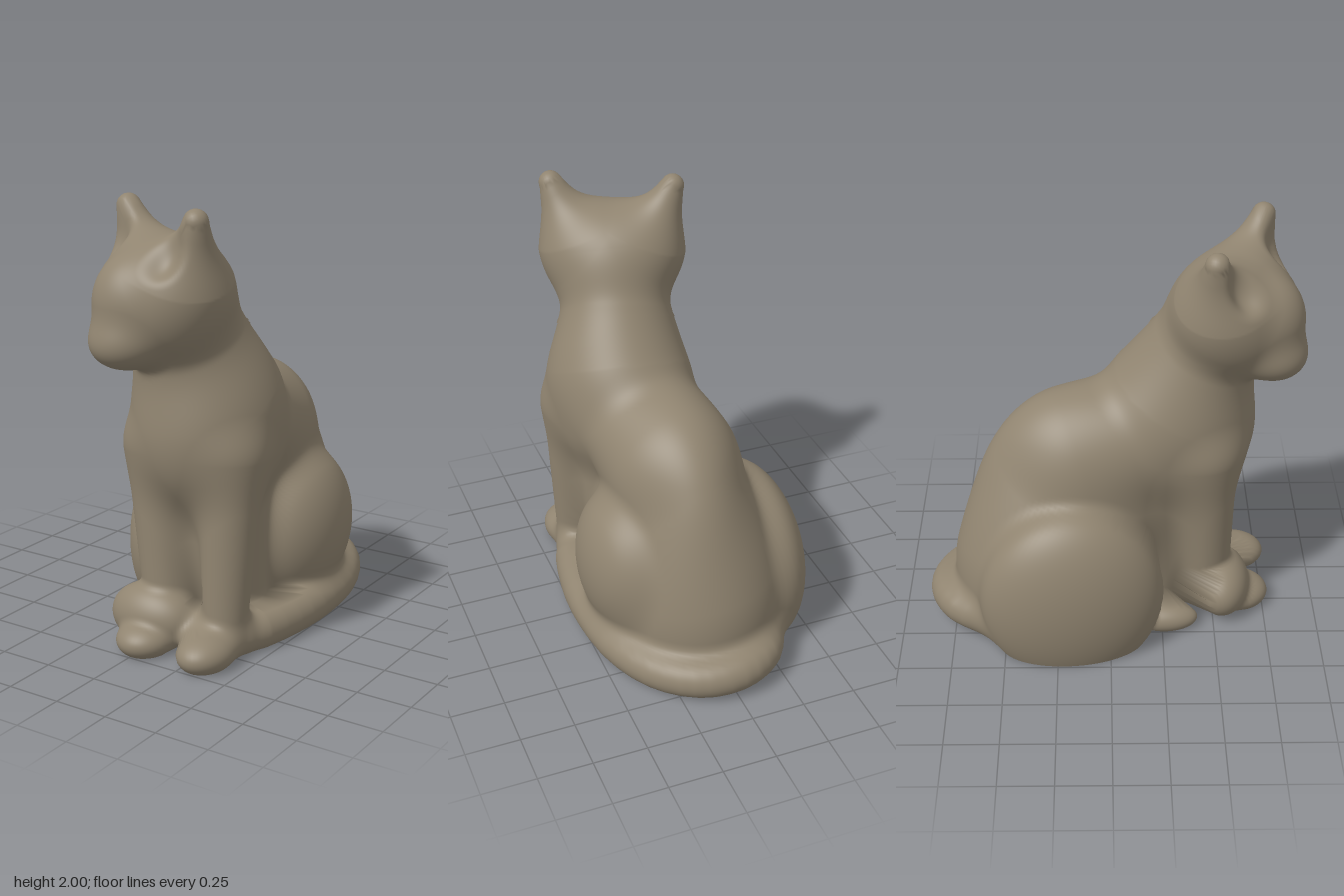
import * as THREE from 'three';
import { mergeVertices } from 'three/addons/utils/BufferGeometryUtils.js';

const V = (x, y, z) => new THREE.Vector3(x, y, z);
const HEAD = V(0.08, 1.58, 0.545);
const YAW = -0.44; // the head looks a little to its right
const SIDES = [-1, 1];

// Rounded volume: ellipsoid turned about the vertical axis
function ellipsoid(c, r, yaw = 0) {
  const cs = Math.cos(yaw), sn = Math.sin(yaw);
  return (x, y, z) => {
    const dx = x - c.x, dz = z - c.z;
    const a = (dx * cs - dz * sn) / r.x, b = (y - c.y) / r.y, e = (dx * sn + dz * cs) / r.z;
    const k0 = Math.hypot(a, b, e), k1 = Math.hypot(a / r.x, b / r.y, e / r.z);
    return k1 < 1e-6 ? -Math.min(r.x, r.y, r.z) : k0 * (k0 - 1) / k1;
  };
}

// Rounded volume: limb tapering from a to b
function limb(a, ra, b, rb) {
  const ab = b.clone().sub(a), len2 = ab.lengthSq();
  return (x, y, z) => {
    const px = x - a.x, py = y - a.y, pz = z - a.z;
    const t = Math.min(1, Math.max(0, (px * ab.x + py * ab.y + pz * ab.z) / len2));
    return Math.hypot(px - ab.x * t, py - ab.y * t, pz - ab.z * t) - ra - (rb - ra) * t;
  };
}

// Tail: chain of short limbs from the rump along the left side to the forepaws
function tail() {
  const path = new THREE.CatmullRomCurve3([
    V(-0.26, 0.1, -0.53), V(-0.17, 0.11, -0.71), V(-0.03, 0.105, -0.785), V(0.13, 0.09, -0.765),
    V(0.29, 0.08, -0.64), V(0.4, 0.075, -0.42), V(0.445, 0.075, -0.12), V(0.43, 0.075, 0.15),
    V(0.36, 0.075, 0.4), V(0.2, 0.08, 0.52)]).getPoints(26);
  const links = path.slice(1).map((p, i) => limb(path[i], 0.092, p, 0.092));
  return (x, y, z) => {
    if (y > 0.6) return y - 0.3;
    let d = 9;
    for (const f of links) d = Math.min(d, f(x, y, z));
    return d;
  };
}

// Point in the turned frame of the head
const onHead = (x, y, z) => V(x, y, z).applyAxisAngle(V(0, 1, 0), YAW).add(HEAD);

// Each volume with the softness of its joint
const volumes = [
  [ellipsoid(V(0, 0.25, -0.29), V(0.41, 0.56, 0.46)), 0],                   // rump
  [ellipsoid(V(0.04, 0.71, -0.14), V(0.28, 0.46, 0.46)), 0.2],              // back
  [limb(V(0.06, 0.86, -0.15), 0.3, V(0.11, 0.95, 0.15), 0.3), 0.1],         // withers
  [limb(V(0.14, 0.8, 0.29), 0.24, V(0.13, 0.1, 0.18), 0.2), 0.1],           // belly
  [ellipsoid(V(0.145, 1.0, 0.355), V(0.33, 0.41, 0.325)), 0.1],             // chest
  [limb(V(0.135, 1.14, 0.29), 0.285, V(0.09, 1.61, 0.545), 0.23), 0.12],    // neck
  [limb(V(0.335, 0.9, 0.44), 0.14, V(0.325, 0.09, 0.48), 0.098), 0.1],      // left foreleg
  [limb(V(-0.045, 0.9, 0.45), 0.14, V(0.03, 0.09, 0.48), 0.103), 0.1],      // right foreleg
  [ellipsoid(V(0.3, 0.41, -0.2), V(0.225, 0.36, 0.33)), 0.07],              // left thigh
  [ellipsoid(V(-0.31, 0.28, -0.18), V(0.225, 0.47, 0.43), 0.1), 0.07],      // right thigh
  [tail(), 0.07],
  [ellipsoid(V(-0.01, 0.13, 0.54), V(0.21, 0.15, 0.14)), 0.03],             // tail tip
  [ellipsoid(V(0.325, 0.06, 0.62), V(0.122, 0.088, 0.16)), 0.06],           // left forepaw
  [ellipsoid(V(0.01, 0.055, 0.63), V(0.13, 0.085, 0.145)), 0.03],           // right forepaw
  [ellipsoid(V(-0.19, 0.05, 0.26), V(0.08, 0.07, 0.16)), 0.03],             // right hind paw
  [ellipsoid(HEAD, V(0.315, 0.27, 0.285), YAW), 0.06],                      // skull
  [ellipsoid(onHead(0, 0, 0.19), V(0.14, 0.18, 0.14), YAW), 0.08],          // brow and nose bridge
  [ellipsoid(onHead(0, -0.16, 0.205), V(0.155, 0.115, 0.15), YAW), 0.08],   // muzzle
  ...SIDES.map(s => [limb(onHead(s * 0.175, 0.12, 0), 0.15, onHead(s * 0.28, 0.362, 0.025), 0.054), 0.13]), // ears
];
const earHollows = SIDES.map(s => ellipsoid(onHead(s * 0.22, 0.27, 0.165), V(0.07, 0.12, 0.09), YAW));

// Soft minimum of two distances
function blend(a, b, k) {
  const h = Math.max(k - Math.abs(a - b), 0);
  return Math.min(a, b) - (k ? h * h / (4 * k) : 0);
}

// Soft union of all volumes; negative inside
function field(x, y, z) {
  let d = 9;
  for (const [f, k] of volumes) d = blend(d, f(x, y, z), k);
  if (y > 1.6) for (const f of earHollows) d = -blend(-d, f(x, y, z), 0.06);
  return d;
}
const along = (o, d, r) => field(o.x + d.x * r, o.y + d.y * r, o.z + d.z * r);

// Refine the surface distance along a ray between an inner and an outer value
function refine(o, d, lo, hi) {
  for (let i = 0; i < 12; i++) {
    const m = (lo + hi) / 2;
    if (along(o, d, m) < 0) lo = m; else hi = m;
  }
  return (lo + hi) / 2;
}

// Smooth normals from the slope of the field
function smoothNormals(g) {
  const p = g.attributes.position, n = [], e = 0.004;
  for (let i = 0; i < p.count; i++) {
    const x = p.getX(i), y = p.getY(i), z = p.getZ(i);
    const v = V(field(x + e, y, z) - field(x - e, y, z), field(x, y + e, z) - field(x, y - e, z),
      field(x, y, z + e) - field(x, y, z - e)).normalize();
    n.push(v.x, v.y, v.z);
  }
  g.setAttribute('normal', new THREE.Float32BufferAttribute(n, 3));
  return g;
}

// Body: cross-sections around a bent axis, level at the ground and leaning at the neck
const ROWS = 160, COLS = 200, TOP = 1.62;
const axisKeys = [[0, 0.08, 0.2], [0.8, 0.08, 0.2], [1.3, 0.12, 0.36], [TOP, HEAD.x, 0.52]];
function axisAt(y) {
  const i = y < 0.8 ? 0 : y < 1.3 ? 1 : 2;
  const [a, b] = [axisKeys[i], axisKeys[i + 1]];
  const t = (y - a[0]) / (b[0] - a[0]);
  return V(a[1] + (b[1] - a[1]) * t, y, a[2] + (b[2] - a[2]) * t);
}
function bodyGeometry() {
  const pos = [], index = [];
  for (let i = 0; i <= ROWS; i++) {
    const o = axisAt(TOP * (i / ROWS) ** 1.25); // closer rows near the paws
    const lean = 0.5 * THREE.MathUtils.smoothstep(o.y, 0.4, 1.3);
    for (let j = 0; j < COLS; j++) {
      const a = j / COLS * Math.PI * 2, d = V(Math.sin(a), -lean * Math.cos(a), Math.cos(a));
      let r = 1.25, gap = along(o, d, r), step = 0;
      while (r > 0.04 && gap > 0) {
        step = Math.max(0.004, gap * 0.5);
        r -= step;
        gap = along(o, d, r);
      }
      r = refine(o, d, r, r + step);
      pos.push(o.x + d.x * r, o.y + d.y * r, o.z + d.z * r);
      if (i < ROWS) {
        const p = i * COLS + j, q = i * COLS + (j + 1) % COLS;
        index.push(p, q, p + COLS, q, q + COLS, p + COLS);
      }
    }
  }
  const g = new THREE.BufferGeometry();
  g.setAttribute('position', new THREE.Float32BufferAttribute(pos, 3));
  g.setIndex(index);
  return smoothNormals(g);
}

// Flat underside closing the lowest cross-section
function undersideGeometry(body) {
  const p = body.attributes.position, pts = [];
  for (let j = 0; j < COLS; j++) pts.push(new THREE.Vector2(p.getX(j), p.getZ(j)));
  return new THREE.ShapeGeometry(new THREE.Shape(pts)).rotateX(Math.PI / 2);
}

// Head: a sphere pushed outward onto the blended surface, ending inside the neck
function headGeometry() {
  let g = new THREE.SphereGeometry(1, 180, 130);
  g.deleteAttribute('uv');
  g.deleteAttribute('normal');
  g = mergeVertices(g, 1e-5);
  const p = g.attributes.position, forward = V(Math.sin(YAW), 0, Math.cos(YAW));
  for (let i = 0; i < p.count; i++) {
    const d = V(0, 0, 0).fromBufferAttribute(p, i).normalize();
    const limit = d.y > -0.2 || d.dot(forward) > 0.35 ? 0.6 : 0.4;
    let r = 0.15;
    while (r < limit && along(HEAD, d, r) < 0) r += 0.012;
    r = r >= limit ? limit : refine(HEAD, d, r - 0.012, r);
    d.multiplyScalar(r).add(HEAD);
    p.setXYZ(i, d.x, d.y, d.z);
  }
  return smoothNormals(g);
}

export function createModel() {
  const group = new THREE.Group();
  const clay = new THREE.MeshStandardMaterial({ color: 0x908470 });
  clay.name = 'warm grey clay';
  const add = (name, geometry) => {
    const mesh = new THREE.Mesh(geometry, clay);
    mesh.name = name;
    group.add(mesh);
  };
  const body = bodyGeometry();
  add('bodyLegsAndTail', body);
  add('underside', undersideGeometry(body));
  add('head', headGeometry());
  return group;
}
